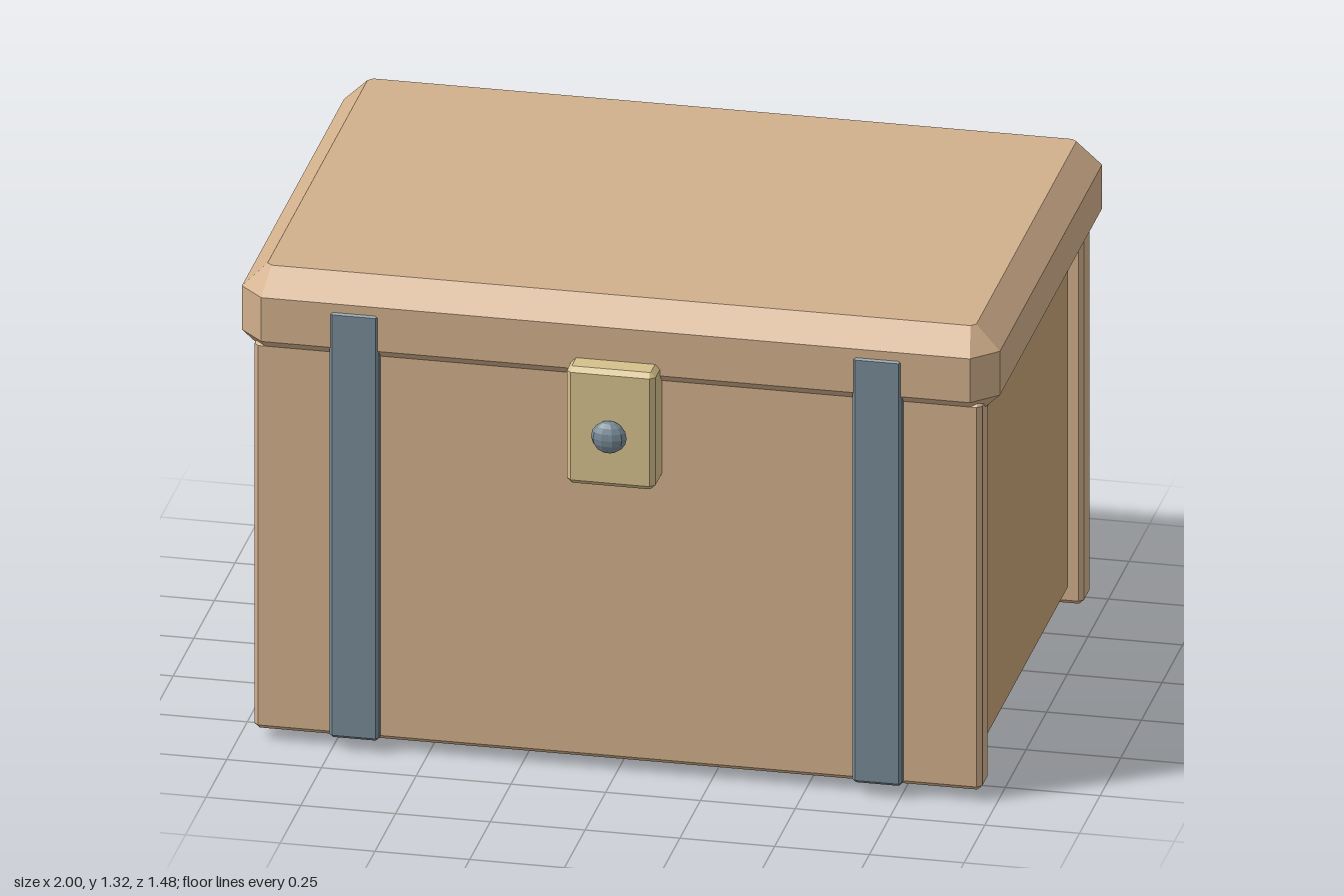
import * as THREE from 'three';
import { ConvexGeometry } from 'three/addons/geometries/ConvexGeometry.js';

const material = (color) => new THREE.MeshStandardMaterial({ color, flatShading: true });

// Box between two corners with every edge cut; bevel is [x, y, z], tip is the small cut left on the end faces
function bevelBox(name, mat, [x0, y0, z0], [x1, y1, z1], [bx, by, bz], tip = 0.2) {
  const hx = (x1 - x0) / 2, hy = (y1 - y0) / 2, hz = (z1 - z0) / 2;
  const points = [];
  for (const sx of [-1, 1]) for (const sy of [-1, 1]) for (const sz of [-1, 1]) {
    const add = (x, y, z) => points.push(new THREE.Vector3(sx * x, sy * y, sz * z));
    add(hx, hy - by, hz - bz);
    add(hx - bx, hy - by, hz);
    add(hx - bx, hy, hz - bz * (1 + tip));
    add(hx - bx * (1 + tip), hy, hz - bz);
  }
  const mesh = new THREE.Mesh(new ConvexGeometry(points), mat);
  mesh.name = name;
  mesh.position.set((x0 + x1) / 2, (y0 + y1) / 2, (z0 + z1) / 2);
  return mesh;
}

export function createModel() {
  const wood = material(0xd2b08c);
  const innerWood = material(0xc6a378);
  const steel = material(0x778a96);
  const brass = material(0xd6c08c);

  const chest = new THREE.Group();
  chest.name = 'chest';

  // Core box, set back at both ends, and the overhanging lid
  chest.add(bevelBox('body', innerWood, [-0.93, 0, -0.63], [0.93, 1.12, 0.525], [0.09, 0.1, 0.05]));
  chest.add(bevelBox('lid', wood, [-1, 1.065, -0.738], [1, 1.318, 0.63], [0.065, 0.065, 0.065]));

  // Front and back boards
  const b = [0.012, 0.012, 0.012];
  chest.add(bevelBox('frontBoard', wood, [-0.96, 0.03, 0.52], [0.96, 1.12, 0.608], b));
  chest.add(bevelBox('backBoard', wood, [-0.96, 0.03, -0.715], [0.96, 1.12, -0.625], b));

  // Metal straps, two on each board
  const s = [0.008, 0.008, 0.008];
  for (const x of [-0.69, 0.69]) {
    chest.add(bevelBox('frontStrap', steel, [x - 0.065, 0.035, 0.59], [x + 0.065, 1.232, 0.635], s));
    chest.add(bevelBox('backStrap', steel, [x - 0.065, 0.035, -0.742], [x + 0.065, 1.232, -0.697], s));
  }

  // Lock plate and its faceted knob
  chest.add(bevelBox('lockPlate', brass, [-0.117, 0.833, 0.59], [0.117, 1.161, 0.697], [0.013, 0.013, 0.013]));
  const knob = new THREE.Mesh(new THREE.SphereGeometry(1, 10, 8), steel);
  knob.name = 'lockKnob';
  knob.scale.set(0.047, 0.044, 0.03);
  knob.position.set(0, 0.982, 0.712);
  chest.add(knob);

  return chest;
}
